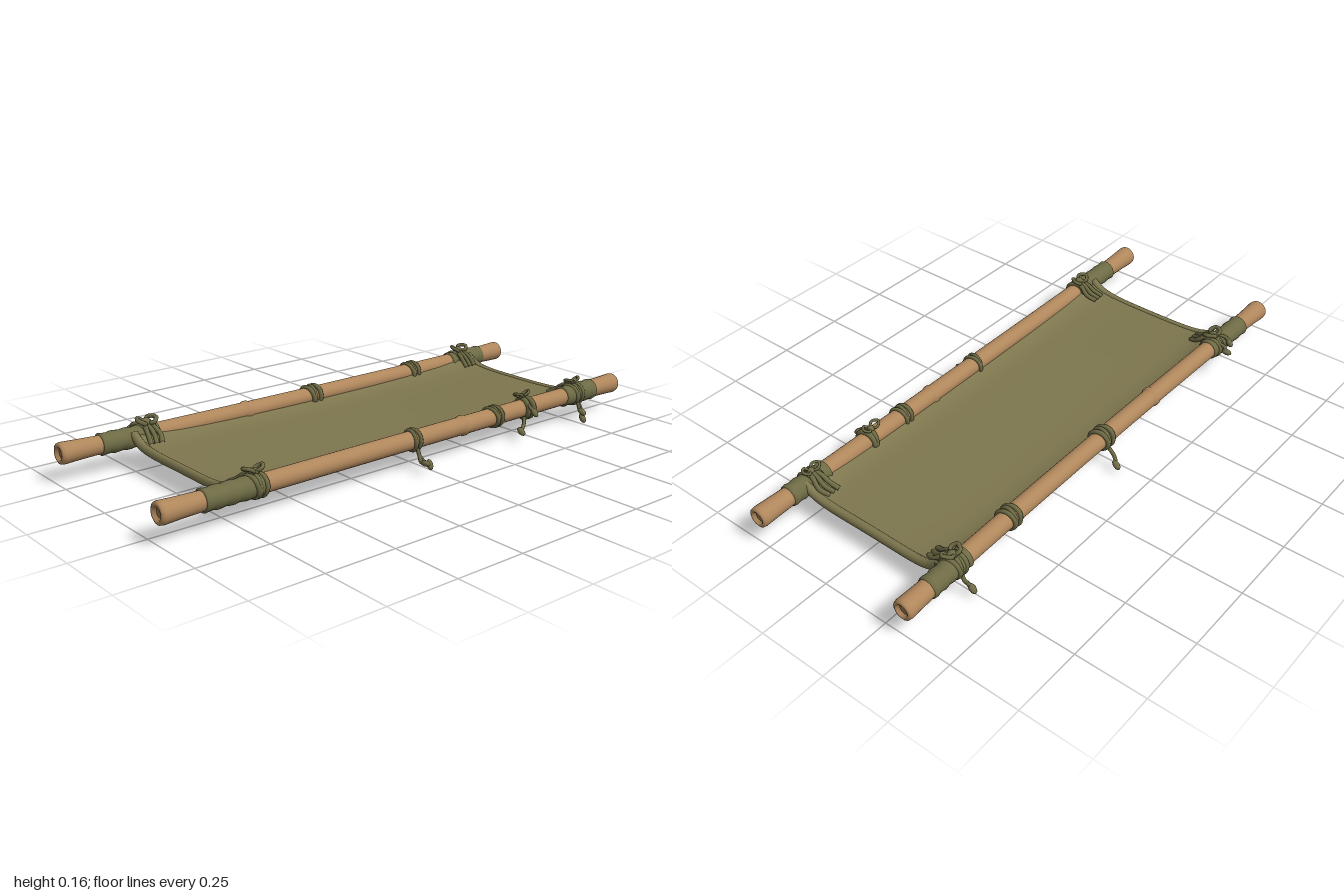
import * as THREE from 'three';

const mat = (name, color) => {
  const m = new THREE.MeshStandardMaterial({ color });
  m.name = name;
  return m;
};
const V = (x, y, z) => new THREE.Vector3(x, y, z);
const POLE_Y = 0.092;

// Centre line of each pole: side -1 bows slightly, side +1 is nearly straight
const poleX = (side, z) => (side < 0 ? -0.308 - 0.012 * z * z : 0.298 + 0.007 * z);

// Height of the canvas middle: sags at the centre, lifts at the ends and corners
function canvasY(u, z) {
  const e = Math.min(1, Math.abs((z + 0.04) / 0.78));
  return 0.053 + 0.017 * e * e + 0.024 * Math.pow(Math.abs(u), 8) + 0.02 * Math.pow(e, 8) * Math.pow(Math.abs(u), 4);
}

export function createModel() {
  const wood = mat('wood', 0xb0875c);
  const core = mat('dark wood core', 0x94704c);
  const canvas = mat('canvas', 0x7d764e);
  const cord = mat('cord', 0x6e6b45);
  const model = new THREE.Group();
  model.name = 'stretcher';

  const add = (name, geo, material, parent = model) => {
    const mesh = new THREE.Mesh(geo, material);
    mesh.name = name;
    parent.add(mesh);
    return mesh;
  };

  // Turned profile along z, shifted to follow a pole
  function alongPole(profile, side) {
    const g = new THREE.LatheGeometry(profile.map(([r, z]) => new THREE.Vector2(r, z)), 24);
    g.rotateX(Math.PI / 2);
    const p = g.attributes.position;
    for (let i = 0; i < p.count; i++) {
      p.setX(i, p.getX(i) + poleX(side, p.getZ(i)));
      p.setY(i, p.getY(i) + POLE_Y);
    }
    g.computeVertexNormals();
    return g;
  }

  const tube = (name, pts, r, parent) =>
    add(name, new THREE.TubeGeometry(new THREE.CatmullRomCurve3(pts), 20, r, 7), cord, parent);

  const blob = (name, c, s, rz, parent) => {
    const m = add(name, new THREE.SphereGeometry(1, 12, 8), cord, parent);
    m.position.copy(c);
    m.scale.set(...s);
    m.rotation.z = rz;
  };

  // Poles with a swollen hollowed rim and one node
  function pole(side, z0, z1, node) {
    const pts = [[0, z0 + 0.014], [0.017, z0 + 0.014], [0.022, z0 + 0.002], [0.027, z0], [0.034, z0 + 0.004], [0.036, z0 + 0.015], [0.034, z0 + 0.07]];
    for (let z = -0.85; z < 0.9; z += 0.1) pts.push([0.0315, z]);
    pts.push([0.0315, node - 0.014], [0.0355, node - 0.006], [0.0355, node + 0.006], [0.0315, node + 0.014]);
    pts.push([0.034, z1 - 0.07], [0.037, z1 - 0.015], [0.035, z1 - 0.004], [0.028, z1], [0.022, z1 - 0.002], [0.017, z1 - 0.014], [0, z1 - 0.014]);
    const head = pts.slice(0, 7), tail = pts.slice(-7);
    const body = pts.slice(7, -7).sort((a, b) => a[1] - b[1]);
    add('pole', alongPole([...head, ...body, ...tail], side), wood);
    for (const [z, dir] of [[z0, -1], [z1, 1]]) {
      const disc = add('poleCore', new THREE.CircleGeometry(0.0175, 20), core);
      disc.position.set(poleX(side, z), POLE_Y, z - dir * 0.0125);
      if (dir < 0) disc.rotation.y = Math.PI;
    }
  }
  pole(-1, -1, 0.985, 0.27);
  pole(1, -1, 1, -0.2);

  // Canvas bed
  const bed = new THREE.BoxGeometry(2, 0.02, 1.54, 28, 1, 36);
  const bp = bed.attributes.position;
  for (let i = 0; i < bp.count; i++) {
    const u = bp.getX(i), z = bp.getZ(i) - 0.04;
    const x = u < 0 ? -u * (poleX(-1, z) + 0.018) : u * (poleX(1, z) - 0.018);
    bp.setXYZ(i, x, bp.getY(i) + canvasY(u, z), z);
  }
  bed.computeVertexNormals();
  add('canvasBed', bed, canvas);

  // Rolled hems across both ends
  for (const z of [-0.808, 0.727]) {
    const pts = [];
    for (let i = -8; i <= 8; i++) {
      const u = i / 8;
      pts.push(V(u * 0.285 - 0.006, canvasY(u, z) - 0.001, z - 0.006 * Math.sign(z) * (1 - u * u)));
    }
    add('hem', new THREE.TubeGeometry(new THREE.CatmullRomCurve3(pts), 32, 0.0155, 10), canvas);
  }

  // Wrapped sleeves with overlapping turns
  function sleeve(side, z0, z1) {
    const pts = [[0.031, z0]];
    const n = 14;
    for (let i = 0; i <= n; i++) {
      pts.push([0.0365 + 0.0018 * Math.sin(i * 1.9), z0 + 0.002 + (z1 - z0 - 0.004) * i / n]);
    }
    pts.push([0.031, z1]);
    add('sleeve', alongPole(pts, side), cord);
  }
  sleeve(-1, -0.89, -0.72);
  sleeve(-1, 0.63, 0.84);
  sleeve(1, -0.87, -0.71);
  sleeve(1, 0.64, 0.85);

  // Ring of cord turns around a pole
  function binding(side, z, turns = 2, r = 0.009) {
    for (let i = 0; i < turns; i++) {
      const t = add('binding', new THREE.TorusGeometry(0.034, r, 8, 24), cord);
      const zz = z + (i - (turns - 1) / 2) * r * 1.7;
      t.position.set(poleX(side, zz), POLE_Y, zz);
      t.rotation.set(0.1 * (i - 0.5), 0.14 * (i % 2 ? -1 : 1), 0);
    }
  }
  binding(-1, -0.77, 3);
  binding(-1, -0.51, 3, 0.008);
  binding(-1, -0.02, 3);
  binding(-1, 0.67, 3);
  binding(1, -0.77, 3);
  binding(1, -0.51, 2, 0.01);
  binding(1, -0.35, 3, 0.007);
  binding(1, 0.03, 2, 0.007);
  binding(1, 0.66, 3);

  // Knot on top of a pole, with loops and a lashing down to the canvas corner
  function knot(side, z, size, lash) {
    const g = new THREE.Group();
    g.name = 'knot';
    g.position.set(poleX(side, z), POLE_Y, z);
    model.add(g);
    const s = side * size;
    blob('knotCentre', V(-side * 0.005, 0.042, 0), [0.018 * size, 0.014 * size, 0.018 * size], 0.3 * side, g);
    for (const k of [-1, 1]) {
      tube('knotLoop', [V(0, 0.042, 0), V(s * 0.012, 0.055, k * 0.018), V(-s * 0.012, 0.057, k * 0.034), V(-s * 0.026, 0.046, k * 0.018), V(0, 0.04, 0)], 0.007 * size, g);
    }
    if (!lash) return;
    for (const k of [-1, 0, 1]) {
      tube('cornerLashing', [V(0, 0.038, k * 0.008), V(-side * 0.032, 0.03, k * 0.016), V(-side * 0.06, 0.01, k * 0.022), V(-side * 0.092, -0.008, k * 0.02 + 0.012)], 0.0085, g);
    }
  }
  knot(-1, -0.77, 1, true);
  knot(-1, 0.67, 1.1, true);
  knot(1, -0.77, 0.7, true);
  knot(1, 0.66, 0.95, true);
  knot(1, -0.5, 0.7, false);

  // Loose tails ending in a flattened flare
  function tail(side, z, pts, r = 0.007) {
    const g = new THREE.Group();
    g.name = 'looseTail';
    model.add(g);
    const path = pts.map(([x, y, dz]) => V(side * x, y, z + dz));
    tube('tailCord', path, r, g);
    const a = path[path.length - 2], b = path[path.length - 1];
    blob('tailEnd', b, [0.019, 0.01, 0.012], Math.atan2(b.y - a.y, b.x - a.x), g);
  }
  tail(-1, -0.77, [[0.345, 0.075, 0], [0.357, 0.055, 0], [0.36, 0.04, 0.008], [0.376, 0.024, 0.012]]);
  tail(-1, -0.02, [[0.335, 0.07, 0], [0.356, 0.05, 0], [0.365, 0.036, 0], [0.381, 0.02, -0.012]]);
  tail(-1, 0.66, [[0.335, 0.115, 0], [0.358, 0.107, 0.01], [0.37, 0.104, 0], [0.383, 0.104, -0.012]]);
  tail(-1, 0.69, [[0.32, 0.13, 0], [0.345, 0.125, 0.01], [0.36, 0.105, 0.015]]);
  tail(1, -0.77, [[0.325, 0.065, 0], [0.337, 0.045, 0], [0.345, 0.03, 0.005], [0.356, 0.015, 0.01]]);
  tail(1, -0.76, [[0.33, 0.07, 0], [0.342, 0.046, 0.002], [0.355, 0.04, 0.004]]);
  tail(1, -0.5, [[0.32, 0.115, 0], [0.338, 0.105, 0.005], [0.353, 0.09, 0]]);
  tail(1, -0.48, [[0.325, 0.07, 0], [0.337, 0.05, 0.015], [0.345, 0.04, 0.03], [0.354, 0.034, 0.045]]);
  tail(1, 0.03, [[0.325, 0.07, 0], [0.338, 0.046, 0.002], [0.352, 0.033, 0.008], [0.378, 0.035, 0.012]]);
  tail(1, 0.03, [[0.338, 0.046, 0], [0.345, 0.03, -0.01], [0.353, 0.014, -0.03]], 0.006);

  return model;
}
